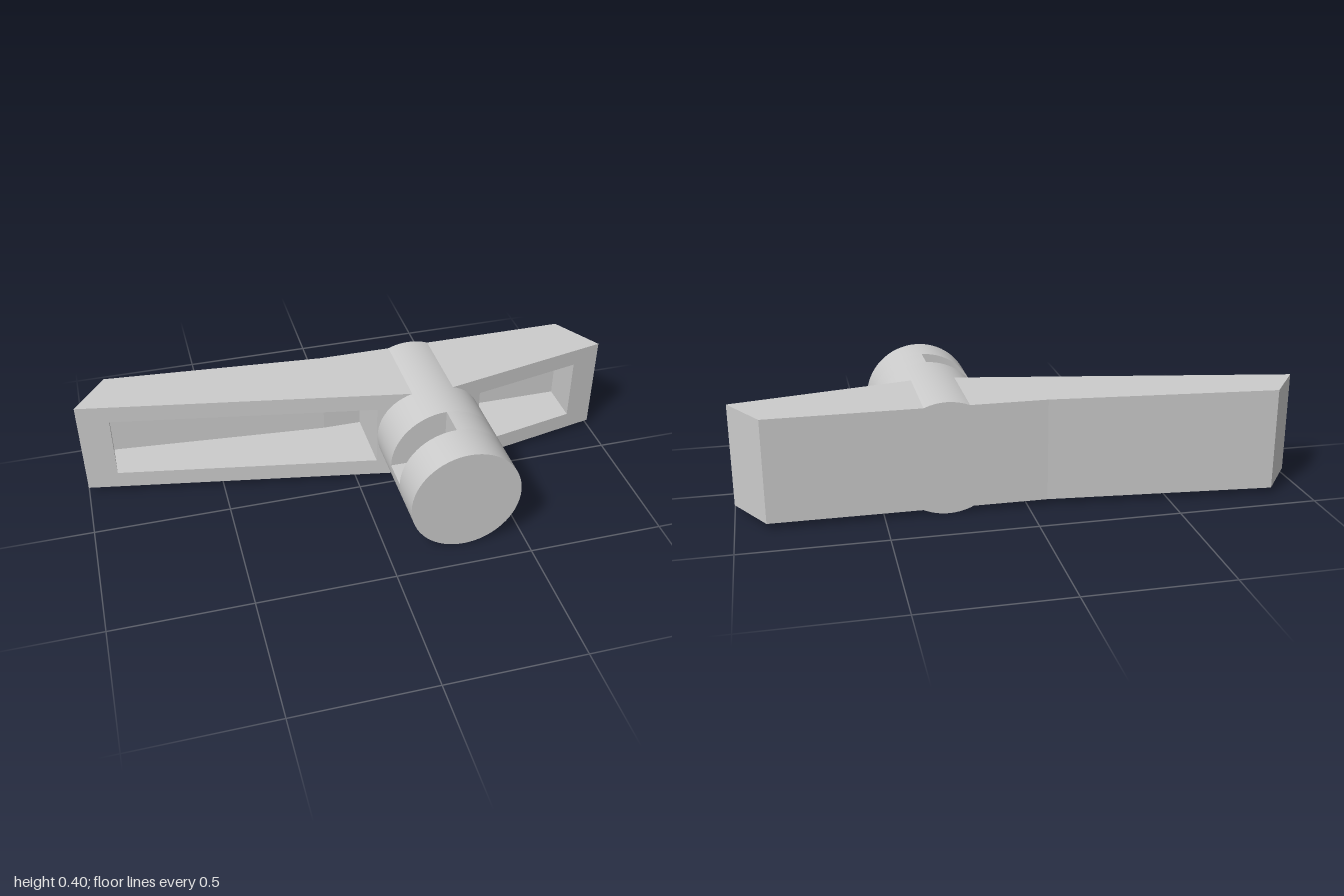
import * as THREE from 'three';
import { mergeGeometries, toCreasedNormals } from 'three/addons/utils/BufferGeometryUtils.js';

const CX = 0.28, R = 0.202, R_CORE = 0.1;  // boss axis, outer and core radius
const Y0 = 0.02, Y1 = 0.388;               // wing height range
const P0 = 0.085, P1 = 0.323;              // pocket height range
const frontZ = (x) => (x < CX ? 0.184 * (x - CX) : 0.208 * (CX - x)); // swept front faces

// Plan outlines as [x, z], anticlockwise from above
const outline = [[-1, frontZ(-1)], [CX, 0], [1, frontZ(1)], [0.895, -0.33], [-0.07, -0.33], [-0.88, -0.4]];
const pockets = [
  [[-0.885, frontZ(-0.885)], [-0.885, -0.362], [-0.07, -0.29], [0.076, -0.29], [0.076, frontZ(0.076)]],
  [[0.477, frontZ(0.477)], [0.477, -0.29], [0.895, -0.29], [0.895, frontZ(0.895)]],
];

function flat(geometry) {
  const g = geometry.index ? geometry.toNonIndexed() : geometry;
  g.deleteAttribute('uv');
  g.computeVertexNormals();
  return g;
}

// Vertical walls along a plan path
function walls(path, y0, y1) {
  const v = [];
  for (let i = 0; i + 1 < path.length; i++) {
    const [ax, az] = path[i], [bx, bz] = path[i + 1];
    v.push(ax, y0, az, bx, y0, bz, bx, y1, bz, ax, y0, az, bx, y1, bz, ax, y1, az);
  }
  const g = new THREE.BufferGeometry();
  g.setAttribute('position', new THREE.Float32BufferAttribute(v, 3));
  return flat(g);
}

// Horizontal face filling a plan outline; side is 1 for up, -1 for down
function level(path, y, side) {
  const shape = new THREE.Shape(path.map(([x, z]) => new THREE.Vector2(x, -side * z)));
  return flat(new THREE.ShapeGeometry(shape).rotateX(-side * Math.PI / 2).translate(0, y, 0));
}

const rect = (x0, x1, y0, y1) =>
  [[x0, y0], [x1, y0], [x1, y1], [x0, y1]].map(([x, y]) => new THREE.Vector2(x, y));

// Swept front face with a pocket opening
function frontFace(x0, x1, pocket) {
  const shape = new THREE.Shape(rect(x0, x1, Y0, Y1));
  shape.holes.push(new THREE.Path(rect(pocket[0][0], pocket.at(-1)[0], P0, P1).reverse()));
  const g = new THREE.ShapeGeometry(shape);
  const p = g.attributes.position;
  for (let i = 0; i < p.count; i++) p.setZ(i, frontZ(p.getX(i)));
  return flat(g);
}

function wingGeometry() {
  const parts = [
    level(outline, Y1, 1),
    level(outline, Y0, -1),
    walls([...outline.slice(2), outline[0]], Y0, Y1),
    frontFace(-1, CX, pockets[0]),
    frontFace(CX, 1, pockets[1]),
  ];
  for (const p of pockets) parts.push(walls(p, P0, P1), level(p, P0, 1), level(p, P1, -1));
  return mergeGeometries(parts);
}

// Length of the boss: a section pushed along z
function bossSection(shape, z0, z1, curveSegments) {
  const g = new THREE.ExtrudeGeometry(shape, { depth: z1 - z0, bevelEnabled: false, curveSegments });
  return toCreasedNormals(g.translate(CX, R, z0), 0.5);
}

export function createModel() {
  const model = new THREE.Group();
  const material = new THREE.MeshStandardMaterial({ color: 0xcccccc });
  const add = (name, geometry) => {
    const mesh = new THREE.Mesh(geometry, material);
    mesh.name = name;
    model.add(mesh);
  };

  add('wingHandle', wingGeometry());

  const disc = new THREE.Shape().absarc(0, 0, R, 0, Math.PI * 2);
  add('bossShaft', bossSection(disc, -0.33, 0.145, 32));
  add('bossEnd', bossSection(disc, 0.255, 0.4, 32));

  // Between them, opposite quarters are cut back to the core
  const slotted = new THREE.Shape();
  for (let i = 0; i < 4; i++) {
    slotted.absarc(0, 0, i % 2 ? R_CORE : R, i * Math.PI / 2, (i + 1) * Math.PI / 2);
  }
  add('bossSlots', bossSection(slotted, 0.145, 0.255, 8));

  return model;
}
